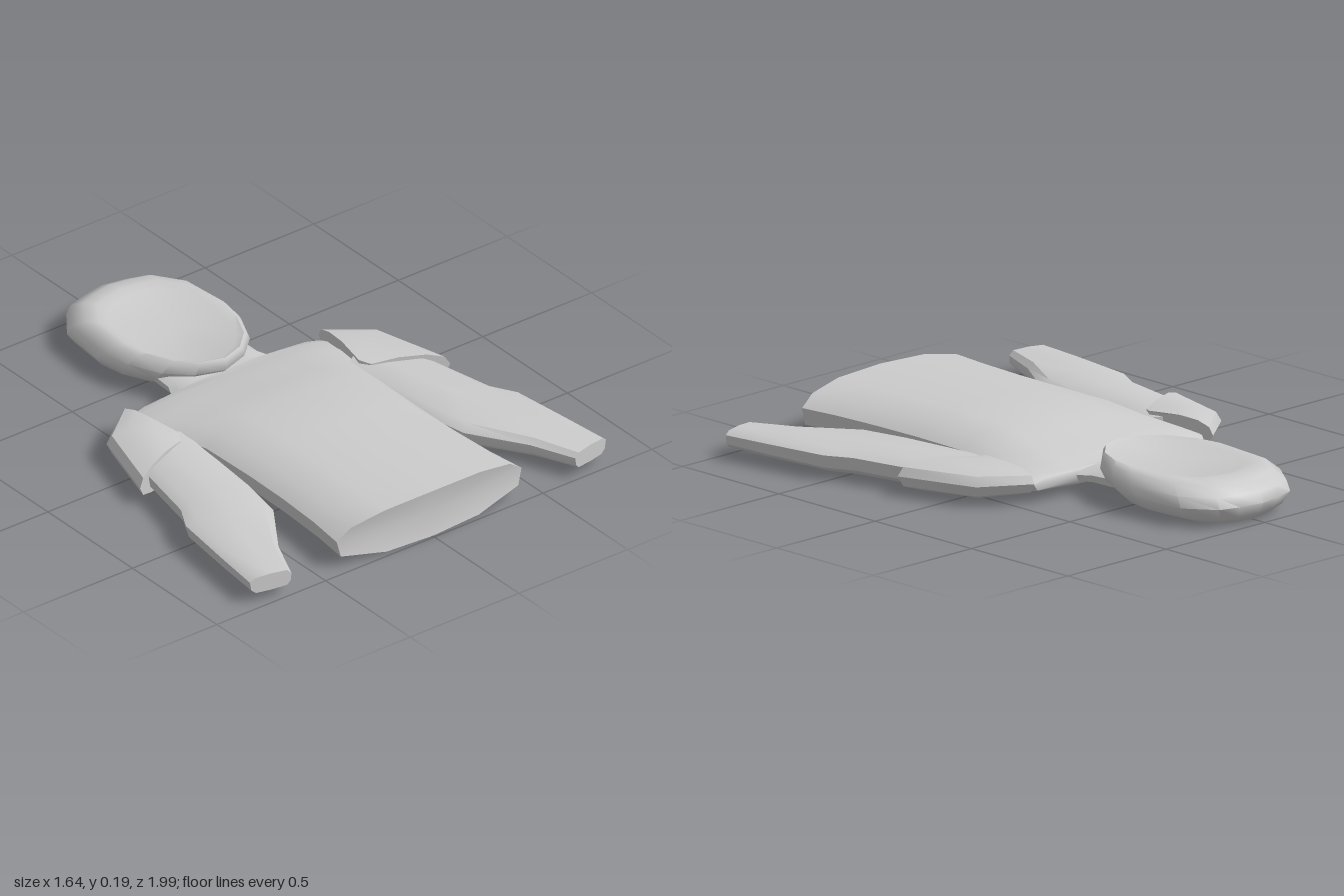
import * as THREE from 'three';
import { toCreasedNormals } from 'three/addons/utils/BufferGeometryUtils.js';

const material = new THREE.MeshStandardMaterial({ color: 0xcccccc, side: THREE.DoubleSide });

// Closed skin through a list of rings (arrays of Vector3), capped at both ends
function loft(name, rings, crease = 0.7) {
  const n = rings[0].length, pos = [], idx = [];
  for (const p of rings.flat()) pos.push(p.x, p.y, p.z);
  for (let r = 0; r < rings.length - 1; r++)
    for (let i = 0; i < n; i++) {
      const a = r * n + i, b = r * n + (i + 1) % n;
      idx.push(a, b, b + n, a, b + n, a + n);
    }
  [0, rings.length - 1].forEach((r) => {
    const c = rings[r].reduce((s, p) => s.add(p), new THREE.Vector3()).divideScalar(n);
    const k = pos.length / 3;
    pos.push(c.x, c.y, c.z);
    for (let i = 0; i < n; i++) {
      const a = r * n + i, b = r * n + (i + 1) % n;
      if (r) idx.push(a, b, k); else idx.push(b, a, k);
    }
  });
  // Turn the faces outward when the signed volume is negative
  const v = (i) => new THREE.Vector3().fromArray(pos, idx[i] * 3);
  let volume = 0;
  for (let i = 0; i < idx.length; i += 3) volume += v(i).dot(v(i + 1).cross(v(i + 2)));
  if (volume < 0) idx.reverse();
  const geo = new THREE.BufferGeometry();
  geo.setAttribute('position', new THREE.Float32BufferAttribute(pos, 3));
  geo.setIndex(idx);
  const mesh = new THREE.Mesh(toCreasedNormals(geo, crease), material);
  mesh.name = name;
  return mesh;
}

// Unit cross-sections: u across, v up
const bodyProfile = [[1, 0.2], [0.86, 0.65], [0.52, 0.93], [0, 1], [-0.52, 0.93], [-0.86, 0.65],
  [-1, 0.2], [-0.96, -0.5], [-0.5, -0.94], [0, -1], [0.5, -0.94], [0.96, -0.5]];
const limbProfile = [[1, 0.5], [0.75, 0.9], [0, 1], [-0.8, 0.9], [-1, 0.4],
  [-0.98, -0.4], [-0.8, -0.9], [0, -1], [0.7, -0.95], [0.93, -0.5]];
const padProfile = [[1, 0.05], [0.85, 0.6], [0.4, 0.92], [-0.3, 1], [-1, 0.8],
  [-1, -0.6], [-0.3, -1], [0.4, -0.95], [0.85, -0.6]];

const CENTRE = 0.007;

function torso() {
  // z, half width, bottom, top; the last rows form the neck
  const rows = [[0.99, 0.425, 0.01, 0.2], [0.8, 0.405, 0.01, 0.2], [0.6, 0.393, 0.01, 0.2],
    [0.4, 0.39, 0.01, 0.2], [0.15, 0.395, 0.012, 0.197], [0, 0.42, 0.015, 0.168],
    [-0.12, 0.46, 0.02, 0.142], [-0.21, 0.46, 0.033, 0.125], [-0.25, 0.43, 0.042, 0.112],
    [-0.265, 0.23, 0.045, 0.112], [-0.32, 0.205, 0.043, 0.12], [-0.45, 0.2, 0.04, 0.13]];
  return loft('torso', rows.map(([z, w, y0, y1], r) => bodyProfile.map(([u, v]) =>
    new THREE.Vector3(CENTRE + u * w, (y0 + y1) / 2 + v * (y1 - y0) / 2, z - (r ? 0 : 0.03 * u * u)))));
}

function head() {
  // Hood outline: position from crown to chin, and relative half width
  const half = [[0, 0], [0.025, 0.35], [0.06, 0.63], [0.22, 0.93], [0.51, 1],
    [0.67, 0.93], [0.84, 0.72], [0.95, 0.4], [1, 0]];
  const outline = [...half, ...half.slice(1, -1).reverse().map(([t, w]) => [t, -w])];
  // y, half width, crown z, chin z; the last rows are the rim and the sunken face
  const rows = [[0.01, 0.1, -0.9, -0.58], [0.014, 0.18, -0.945, -0.47], [0.04, 0.25, -0.975, -0.35],
    [0.085, 0.285, -1, -0.28], [0.125, 0.28, -0.985, -0.24], [0.16, 0.25, -0.925, -0.238],
    [0.173, 0.225, -0.86, -0.245], [0.162, 0.19, -0.82, -0.27]];
  return loft('hoodedHead', rows.map(([y, w, z0, z1]) => outline.map(([t, u]) =>
    new THREE.Vector3(CENTRE + u * w, y, z0 + t * (z1 - z0)))), 0.9);
}

// Limb section rows: inner x, inner z, outer x, outer z, bottom, top
function limb(name, profile, rows, side, crease) {
  return loft(name, rows.map(([xi, zi, xo, zo, y0, y1]) => profile.map(([u, v]) => {
    const t = (u + 1) / 2;
    return new THREE.Vector3(side * (xi + t * (xo - xi)) + (side < 0 ? 0.003 : 0),
      (y0 + y1) / 2 + v * (y1 - y0) / 2, zi + t * (zo - zi));
  })), crease);
}

const armRows = [[0.36, 0.02, 0.54, -0.12, 0.04, 0.125], [0.38, 0.16, 0.655, 0.14, 0.032, 0.13],
  [0.405, 0.42, 0.71, 0.41, 0.03, 0.13], [0.44, 0.61, 0.765, 0.51, 0.032, 0.13],
  [0.58, 0.82, 0.797, 0.76, 0.04, 0.123], [0.655, 0.993, 0.82, 0.96, 0.048, 0.117]];
const padRows = [[0.43, -0.03, 0.455, -0.27, 0.04, 0.145], [0.415, 0.02, 0.625, -0.14, 0.025, 0.15],
  [0.44, 0.06, 0.715, 0.175, 0.022, 0.143]];

export function createModel() {
  const model = new THREE.Group();
  model.name = 'hoodedBust';
  model.add(torso(), head());
  for (const [label, side] of [['left', 1], ['right', -1]]) {
    model.add(limb(label + 'Arm', limbProfile, armRows, side, 0.7));
    model.add(limb(label + 'ShoulderPad', padProfile, padRows, side, 0.6));
  }
  return model;
}
